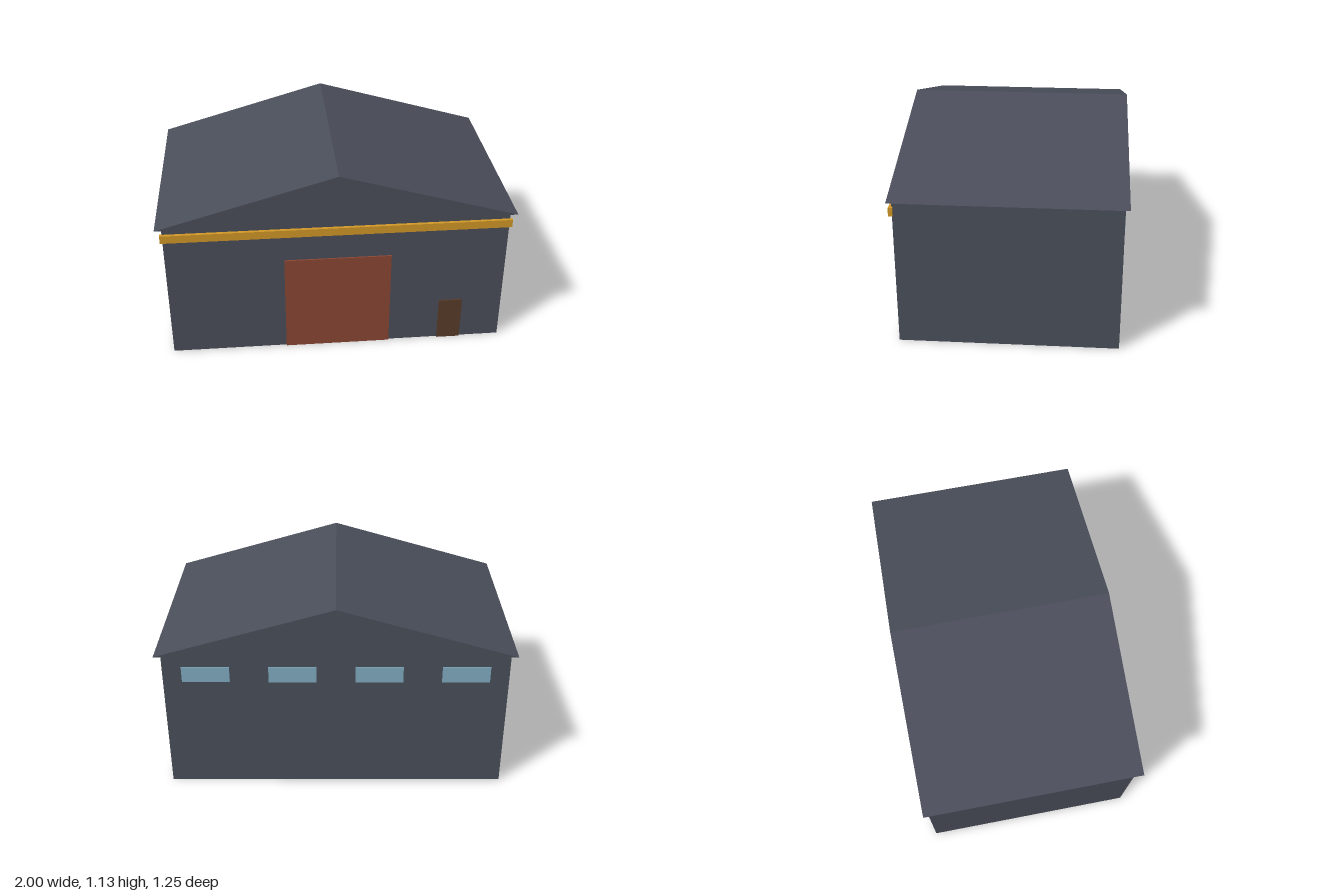
import * as THREE from 'three';

const paint = (name, color) => {
  const m = new THREE.MeshStandardMaterial({ color });
  m.name = name;
  return m;
};

export function createModel() {
  const slate = paint('slate', 0x4a4e5a);
  const rust = paint('rust', 0x8a4632);
  const brown = paint('brown', 0x573b28);
  const amber = paint('amber', 0xd29826);
  const glass = paint('glass', 0x80acc0);

  const model = new THREE.Group();
  model.name = 'warehouse';

  // Box given by its x, y and z ranges
  const box = (name, material, [x0, x1], [y0, y1], [z0, z1]) => {
    const mesh = new THREE.Mesh(new THREE.BoxGeometry(x1 - x0, y1 - y0, z1 - z0), material);
    mesh.position.set((x0 + x1) / 2, (y0 + y1) / 2, (z0 + z1) / 2);
    mesh.name = name;
    model.add(mesh);
  };

  const wallX = 0.963, wallZ = 0.603, eaveY = 0.846, ridgeY = 1.134, roofZ = 0.626;

  box('walls', slate, [-wallX, wallX], [0, eaveY], [-wallZ, wallZ]);

  // Gabled roof overhanging the walls on all sides
  const gable = new THREE.Shape([
    new THREE.Vector2(-1, eaveY),
    new THREE.Vector2(1, eaveY),
    new THREE.Vector2(0, ridgeY),
  ]);
  const roofGeometry = new THREE.ExtrudeGeometry(gable, { depth: 2 * roofZ, bevelEnabled: false });
  roofGeometry.translate(0, 0, -roofZ);
  const roof = new THREE.Mesh(roofGeometry, slate);
  roof.name = 'roof';
  model.add(roof);

  // Front: fascia band, loading door and side door
  box('fasciaBand', amber, [-0.975, 0.975], [0.762, 0.809], [0.598, 0.621]);
  box('loadingDoor', rust, [-0.303, 0.303], [0, 0.602], [wallZ - 0.002, 0.612]);
  box('sideDoor', brown, [0.594, 0.73], [0, 0.268], [wallZ - 0.002, 0.612]);

  // Back: row of high windows
  for (let i = 0; i < 4; i++) {
    const x = (i - 1.5) * 0.482;
    box('backWindow' + (i + 1), glass, [x - 0.133, x + 0.133], [0.677, 0.772], [-0.61, -wallZ + 0.002]);
  }

  return model;
}
